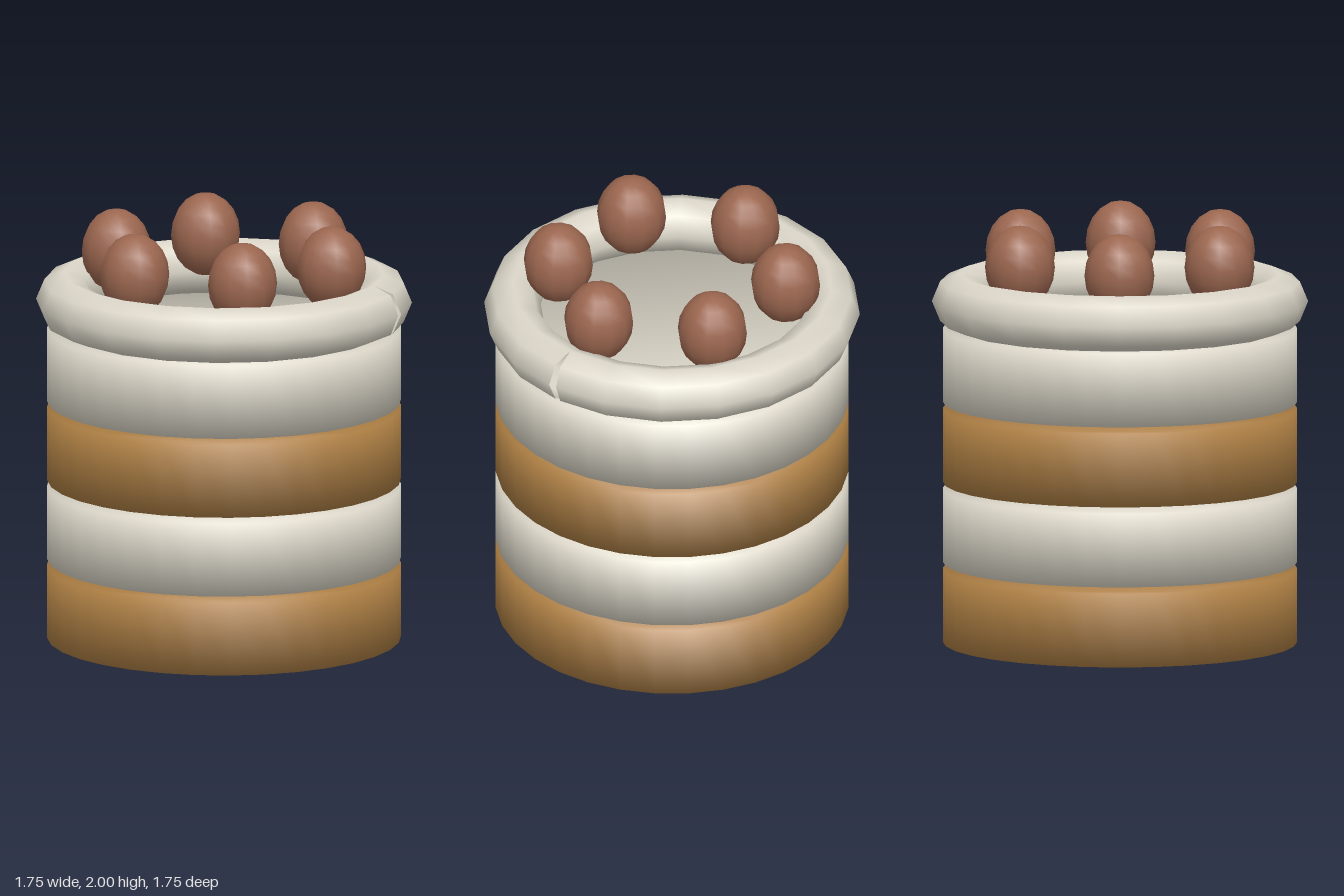
import * as THREE from 'three';

const mat = (name, color) => {
  const m = new THREE.MeshStandardMaterial({ color });
  m.name = name;
  return m;
};

// Disc with soft normals around both rims
function discGeometry(radius, height, sides) {
  const outline = [];
  for (let i = 0; i < sides; i++) {
    const a = (i / sides) * Math.PI * 2;
    outline.push(new THREE.Vector2(Math.cos(a) * radius, Math.sin(a) * radius));
  }
  const geo = new THREE.ExtrudeGeometry(new THREE.Shape(outline), { depth: height, bevelEnabled: false });
  geo.rotateX(-Math.PI / 2);
  const pos = geo.attributes.position;
  const n = new THREE.Vector3();
  for (let i = 0; i < pos.count; i++) {
    n.set(pos.getX(i), pos.getY(i) > height / 2 ? radius : -radius, pos.getZ(i)).normalize();
    geo.attributes.normal.setXYZ(i, n.x, n.y, n.z);
  }
  return geo;
}

export function createModel() {
  const model = new THREE.Group();
  model.name = 'layerCake';
  const sponge = mat('sponge brown', 0xac7e43);
  const cream = mat('cream', 0xdcd7c9);
  const berry = mat('berry brown', 0x9b664f);
  const add = (name, geo, material, x, y, z) => {
    const mesh = new THREE.Mesh(geo, material);
    mesh.name = name;
    mesh.position.set(x, y, z);
    model.add(mesh);
    return mesh;
  };

  // Alternating layers with thin gaps between them
  const disc = discGeometry(0.826, 0.347, 32);
  for (let i = 0; i < 4; i++) {
    add(i % 2 ? 'creamLayer' : 'spongeLayer', disc, i % 2 ? cream : sponge, 0, i * 0.377, 0);
  }

  // Piped rim: an open loop whose ends meet on the left side
  const path = [];
  for (let i = 0; i <= 20; i++) {
    const a = (i / 20) * Math.PI * 2;
    path.push(new THREE.Vector3(Math.cos(a) * 0.745, 0, Math.sin(a) * 0.745));
  }
  const rimMaterial = cream.clone();
  rimMaterial.name = 'cream rim';
  rimMaterial.side = THREE.DoubleSide;
  add('creamRim', new THREE.TubeGeometry(new THREE.CatmullRomCurve3(path), 20, 0.132, 8, false), rimMaterial, 0, 1.605, 0);

  // Ring of six egg-shaped toppings
  const ball = new THREE.SphereGeometry(0.163, 12, 10);
  ball.scale(1, 1.2, 1);
  for (let i = 0; i < 6; i++) {
    const a = (i / 6) * Math.PI * 2;
    add('topping', ball, berry, Math.cos(a) * 0.537, 1.804, Math.sin(a) * 0.537);
  }
  return model;
}
